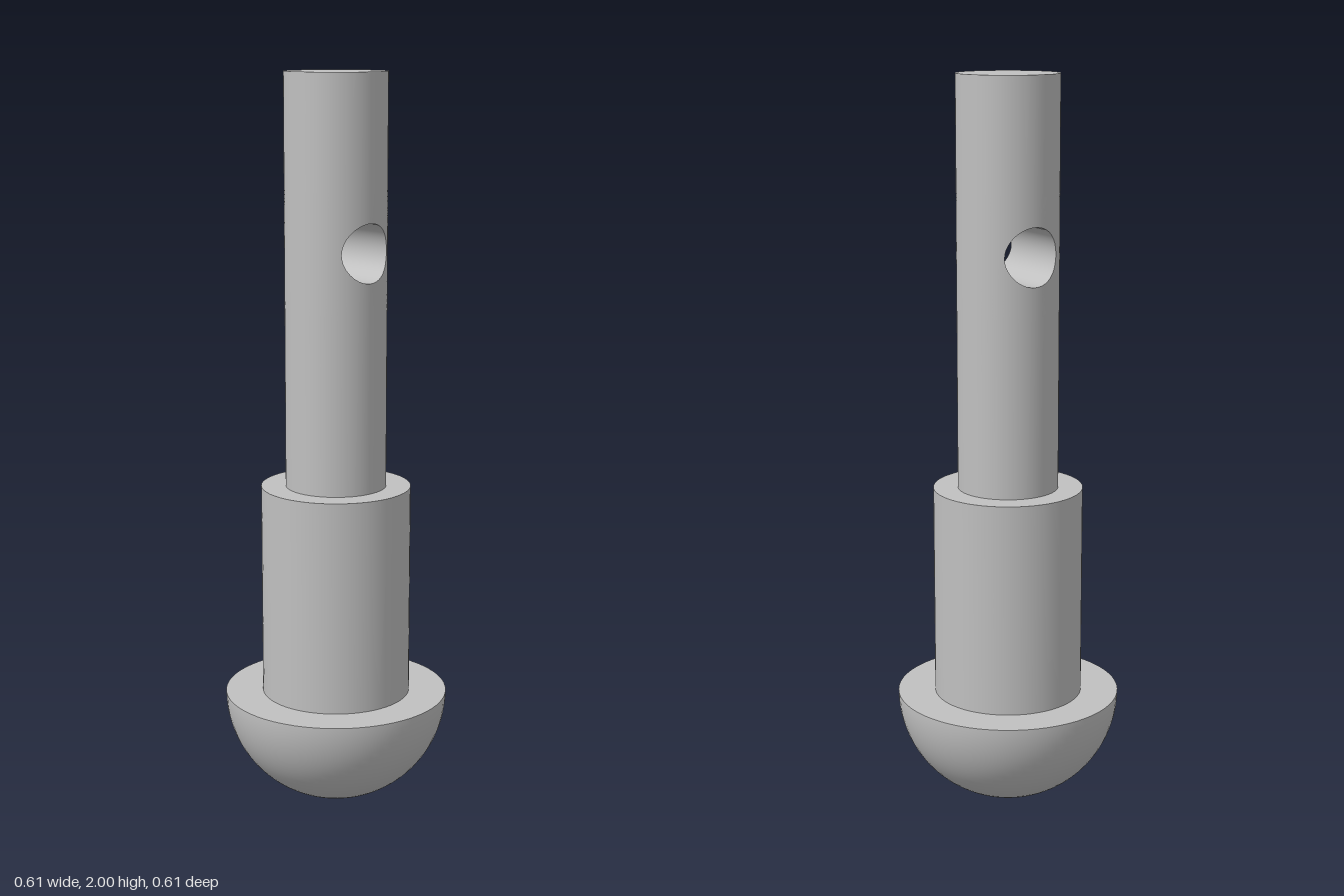
import * as THREE from 'three';

const SEG = 64;
const SHAFT_R = 0.137, COLLAR_R = 0.204, HEAD_R = 0.307;
const COLLAR_TOP = 0.893, TOP = 2;
const HOLE_R = 0.078, HOLE_Y = 1.537, BAND = 0.16;

// Smooth surface from fn(u, v) -> [position, normal], facing along du x dv
function surface(nu, nv, fn) {
  const pos = [], nor = [], idx = [];
  for (let i = 0; i <= nu; i++) {
    for (let j = 0; j <= nv; j++) {
      const [p, n] = fn(i / nu, j / nv);
      pos.push(...p);
      nor.push(...n);
      if (i < nu && j < nv) {
        const a = i * (nv + 1) + j, b = a + nv + 1;
        idx.push(a, b, b + 1, a, b + 1, a + 1);
      }
    }
  }
  const g = new THREE.BufferGeometry();
  g.setAttribute('position', new THREE.Float32BufferAttribute(pos, 3));
  g.setAttribute('normal', new THREE.Float32BufferAttribute(nor, 3));
  g.setIndex(idx);
  return g;
}

// Point on a unit square's outline, evenly spaced along each side
function squarePoint(t) {
  const wave = (s) => THREE.MathUtils.clamp((4 / Math.PI) * Math.asin(THREE.MathUtils.clamp(s, -1, 1)), -1, 1);
  return [wave(Math.cos(t)), wave(Math.sin(t))];
}

// Half of the shaft wall around the cross hole, blending hole rim to a straight border
function piercedWall() {
  return surface(SEG * 2, 16, (u, v) => {
    const t = u * Math.PI * 2;
    const [sx, sy] = squarePoint(t);
    const rim = Math.asin((HOLE_R * Math.cos(t)) / SHAFT_R);
    const a = THREE.MathUtils.lerp(rim, (sx * Math.PI) / 2, v);
    const y = HOLE_Y + THREE.MathUtils.lerp(HOLE_R * Math.sin(t), sy * BAND, v);
    return [[SHAFT_R * Math.cos(a), y, SHAFT_R * Math.sin(a)], [Math.cos(a), 0, Math.sin(a)]];
  });
}

// Inside of the cross hole, running along x
function bore() {
  return surface(SEG * 2, 1, (u, v) => {
    const t = u * Math.PI * 2, c = Math.cos(t), s = Math.sin(t);
    const z = HOLE_R * c;
    const x = Math.sqrt(SHAFT_R * SHAFT_R - z * z) * (v * 2 - 1);
    return [[x, HOLE_Y + HOLE_R * s, z], [0, -s, -c]];
  });
}

export function createModel() {
  const group = new THREE.Group();
  const steel = new THREE.MeshStandardMaterial({ color: 0xc0c0c0 });
  steel.name = 'steel grey';

  const add = (name, geometry) => {
    const mesh = new THREE.Mesh(geometry, steel);
    mesh.name = name;
    group.add(mesh);
    return mesh;
  };
  const tube = (name, r, y0, y1) =>
    add(name, new THREE.CylinderGeometry(r, r, y1 - y0, SEG, 1, true).translate(0, (y0 + y1) / 2, 0));
  const ledge = (name, inner, outer, y) =>
    add(name, new THREE.RingGeometry(inner, outer, SEG).rotateX(-Math.PI / 2).translate(0, y, 0));

  // Domed head, round side down
  add('head', new THREE.SphereGeometry(HEAD_R, SEG, 24, 0, Math.PI * 2, Math.PI / 2, Math.PI / 2)
    .translate(0, HEAD_R, 0));
  ledge('headLedge', COLLAR_R, HEAD_R, HEAD_R);

  // Thick collar
  tube('collar', COLLAR_R, HEAD_R, COLLAR_TOP);
  ledge('collarLedge', SHAFT_R, COLLAR_R, COLLAR_TOP);

  // Shaft with a cross hole
  tube('lowerShaft', SHAFT_R, COLLAR_TOP, HOLE_Y - BAND);
  tube('upperShaft', SHAFT_R, HOLE_Y + BAND, TOP);
  add('shaftEnd', new THREE.CircleGeometry(SHAFT_R, SEG).rotateX(-Math.PI / 2).translate(0, TOP, 0));
  const wall = piercedWall();
  add('leftPiercedWall', wall);
  add('rightPiercedWall', wall).rotation.y = Math.PI;
  add('crossHole', bore());

  return group;
}
